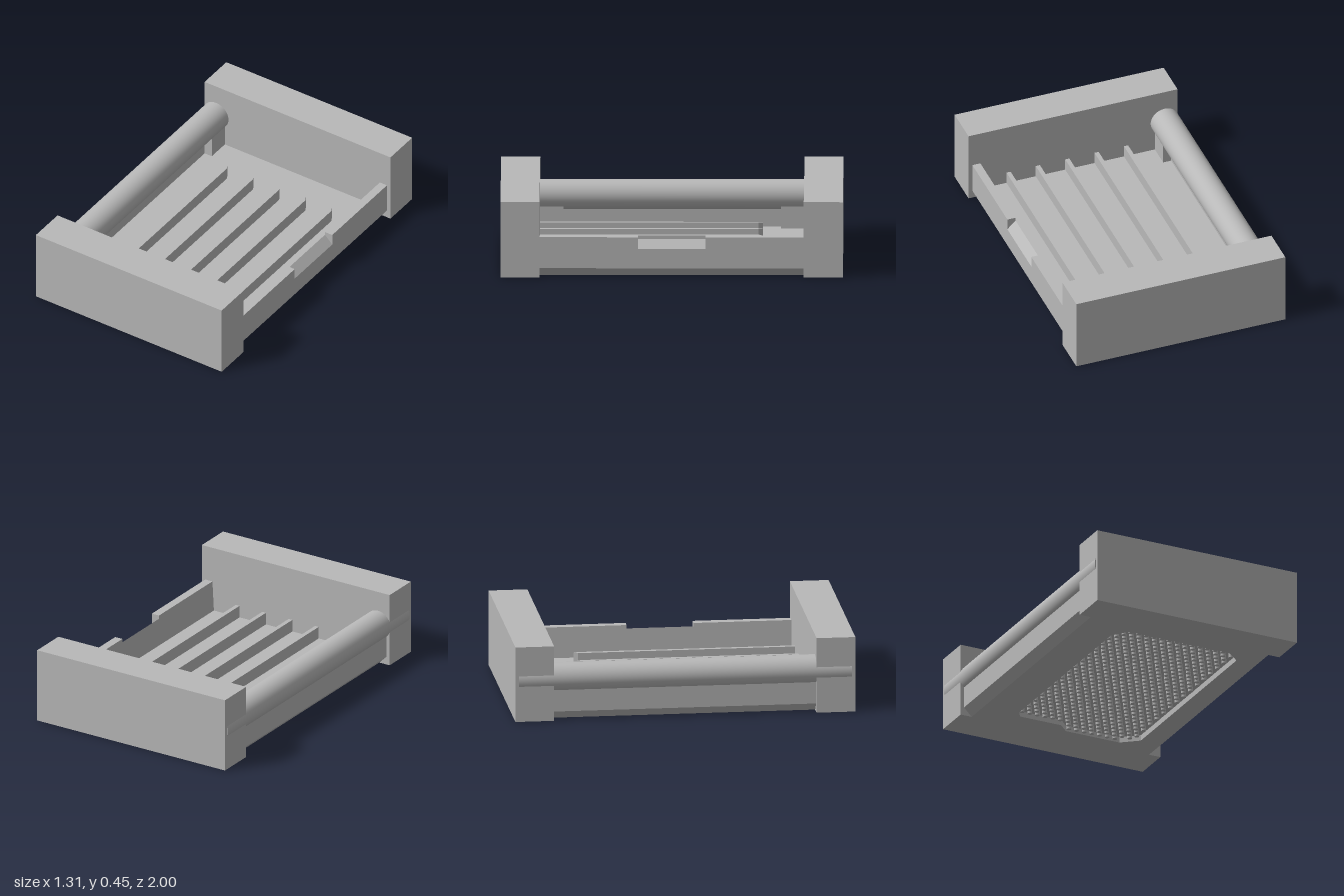
import * as THREE from 'three';
import { mergeGeometries } from 'three/addons/utils/BufferGeometryUtils.js';

const toShape = pts => new THREE.Shape(pts.map(p => new THREE.Vector2(p[0], p[1])));

// Profile in x/y, extruded from z0 to z1
function alongZ(pts, z0, z1) {
  return new THREE.ExtrudeGeometry(toShape(pts), { depth: z1 - z0, bevelEnabled: false }).translate(0, 0, z0);
}

// Plan in x/z, extruded from y0 to y1
function upright(shape, y0, y1) {
  return new THREE.ExtrudeGeometry(shape, { depth: y1 - y0, bevelEnabled: false })
    .rotateX(Math.PI / 2).translate(0, y1, 0);
}

function inside(pts, x, z) {
  let hit = false;
  for (let i = 0, j = pts.length - 1; i < pts.length; j = i++) {
    const [xi, zi] = pts[i], [xj, zj] = pts[j];
    if ((zi > z) !== (zj > z) && x < ((xj - xi) * (z - zi)) / (zj - zi) + xi) hit = !hit;
  }
  return hit;
}

export function createModel() {
  const model = new THREE.Group();
  model.name = 'tray';
  const grey = new THREE.MeshStandardMaterial({ color: 0xb8b8b8 });
  grey.name = 'grey';
  const add = (name, geometry) => {
    const mesh = new THREE.Mesh(geometry, grey);
    mesh.name = name;
    model.add(mesh);
    return mesh;
  };

  // Tall end blocks
  for (const [name, side] of [['frontBlock', 1], ['backBlock', -1]]) {
    add(name, new THREE.BoxGeometry(1.306, 0.45, 0.228)).position.set(0.001, 0.225, side * 0.886);
  }

  // Base frame with an outlined recess underneath, closed by the floor
  const recess = [
    [0.45, -0.62], [0.35, -0.7], [0, -0.7], [-0.06, -0.64], [-0.33, -0.64],
    [-0.36, -0.59], [-0.36, 0.6], [-0.29, 0.69], [0.37, 0.69], [0.45, 0.62],
  ];
  const frame = toShape([[-0.58, -0.772], [0.58, -0.772], [0.58, 0.772], [-0.58, 0.772]]);
  frame.holes.push(new THREE.Path(recess.map(p => new THREE.Vector2(p[0], p[1]))));
  add('baseFrame', upright(frame, 0, 0.035));
  add('floor', new THREE.BoxGeometry(1.16, 0.016, 1.544)).position.y = 0.043;

  // Staggered pins in the recess
  const pins = [];
  const step = 0.05;
  for (let row = 0; row < 32; row++) {
    const z = -0.68 + row * 0.0435;
    for (let col = 0; col < 18; col++) {
      const x = -0.34 + (col + (row % 2) / 2) * step;
      const clear = [[0.018, 0], [-0.018, 0], [0, 0.018], [0, -0.018]]
        .every(([dx, dz]) => inside(recess, x + dx, z + dz));
      if (clear) pins.push(new THREE.CylinderGeometry(0.014, 0.014, 0.03, 10).translate(x, 0.021, z));
    }
  }
  add('gripPins', mergeGeometries(pins));

  // Right-hand wall with a sloped notch in the middle
  const wall = [[0.58, 0], [0.63, 0.05], [0.63, 0.235], [0.58, 0.235], [0.57, 0.05]];
  const notch = [[0.58, 0], [0.63, 0.05], [0.63, 0.165], [0.579, 0.215], [0.57, 0.05]];
  add('notchedWallBack', alongZ(wall, -0.772, -0.197));
  add('notchedWallMiddle', alongZ(notch, -0.197, 0.197));
  add('notchedWallFront', alongZ(wall, 0.197, 0.772));

  // Wall beneath the roller, with a post at each end
  add('rollerWall', alongZ([[-0.58, 0], [-0.56, 0.05], [-0.56, 0.24], [-0.63, 0.24], [-0.63, 0.05]], -0.772, 0.772));
  for (const side of [1, -1]) {
    add('rollerPost', new THREE.BoxGeometry(0.1, 0.2, 0.137)).position.set(-0.56, 0.145, side * 0.7035);
  }
  const roller = add('roller', new THREE.CylinderGeometry(0.087, 0.087, 1.96, 48));
  roller.rotation.x = Math.PI / 2;
  roller.position.set(-0.571, 0.243, 0);

  // Floor ribs with pointed back ends
  for (const x of [-0.33, -0.146, 0.037, 0.221, 0.404]) {
    const w = 0.013;
    const plan = toShape([[x, -0.53], [x + w, -0.505], [x + w, 0.775], [x - w, 0.775], [x - w, -0.505]]);
    add('rib', upright(plan, 0.045, 0.125));
  }

  return model;
}
